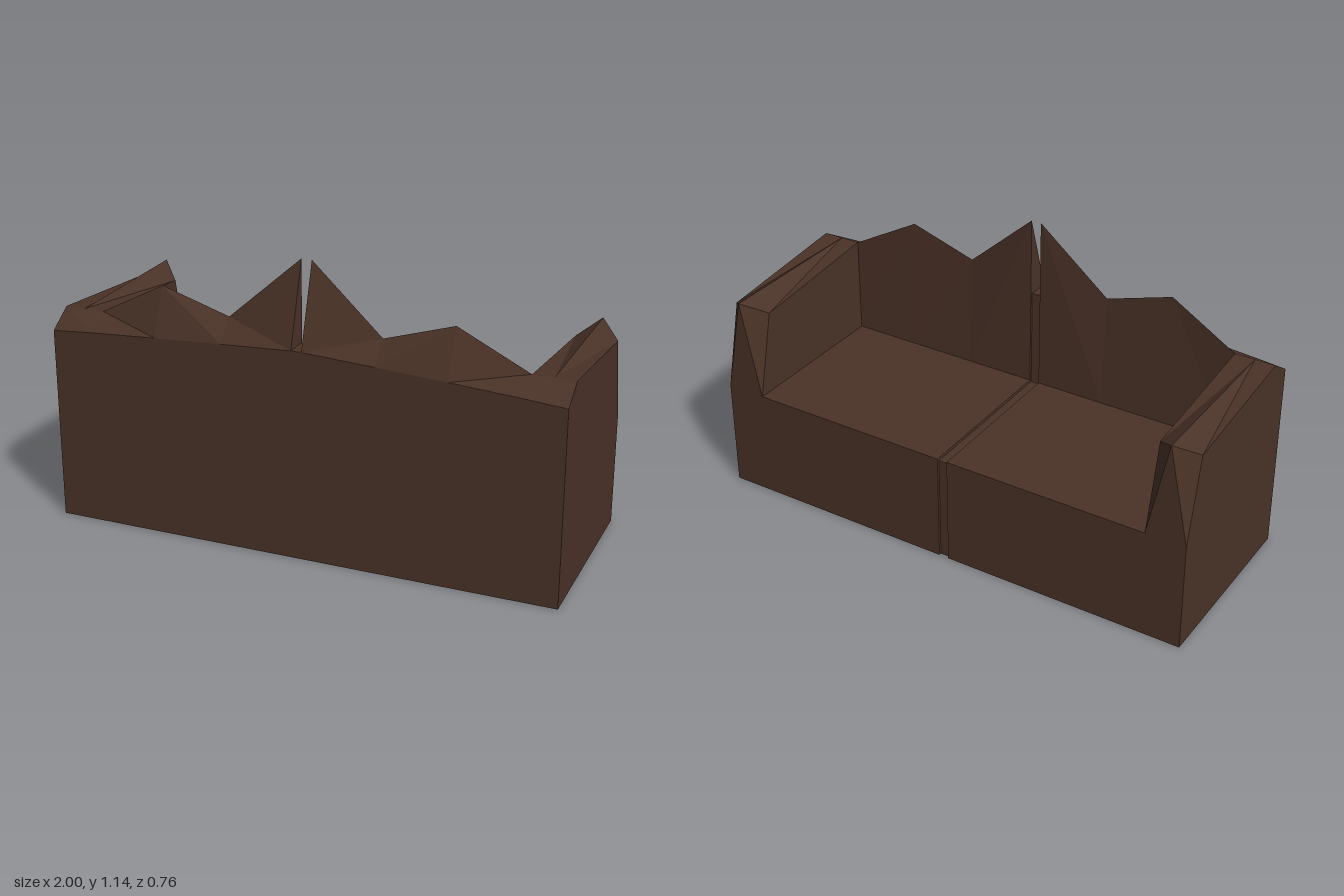
import * as THREE from 'three';

const SEAT = 0.44, DEPTH = 0.38, SEAM = 0.02, BACK = 0.28;
const material = new THREE.MeshStandardMaterial({ color: 0x4a3227, flatShading: true });

// Skins sections { x, points: [[z, y], ...] } running up the +z side and down the -z side.
function loft(sections) {
  const pos = [];
  const put = (s, i) => pos.push(s.x, s.points[i][1], s.points[i][0]);
  const tri = (...corners) => corners.forEach(([s, i]) => put(s, i));
  const n = sections[0].points.length;
  for (let k = 0; k < sections.length - 1; k++) {
    const a = sections[k], b = sections[k + 1];
    for (let j = 0; j < n - 1; j++) {
      tri([a, j], [b, j + 1], [a, j + 1]);
      tri([a, j], [b, j], [b, j + 1]);
    }
  }
  const first = sections[0], last = sections[sections.length - 1];
  for (let j = 1; j < n - 1; j++) {
    tri([first, 0], [first, j], [first, j + 1]);
    tri([last, 0], [last, j + 1], [last, j]);
  }
  const geometry = new THREE.BufferGeometry();
  geometry.setAttribute('position', new THREE.Float32BufferAttribute(pos, 3));
  geometry.computeVertexNormals();
  return geometry;
}

function box(name, x0, x1, y0, y1, z0, z1) {
  const mesh = new THREE.Mesh(new THREE.BoxGeometry(x1 - x0, y1 - y0, z1 - z0), material);
  mesh.position.set((x0 + x1) / 2, (y0 + y1) / 2, (z0 + z1) / 2);
  mesh.name = name;
  return mesh;
}

// Backrest stations: x, crest height, crest z, height of the outer edge
const backStations = [
  [SEAM, 1.14, 0.28, 0.825],
  [0.3, 0.89, 0.3, 0.81],
  [0.57, 0.975, 0.3, 0.795],
  [0.84, 0.83, 0.28, 0.778],
  [1, 0.83, 0.28, 0.765],
];

function createHalf(name) {
  const half = new THREE.Group();
  half.name = name;
  half.add(box('seatBase', SEAM, 1, 0, SEAT, -DEPTH, DEPTH));

  // Backrest with a jagged crest
  const backrest = new THREE.Mesh(loft(backStations.map(([x, y, z, edge]) => ({
    x, points: [[DEPTH, SEAT], [DEPTH, edge], [z, y], [BACK, SEAT]],
  }))), material);
  backrest.name = 'backrest';
  half.add(backrest);

  // Armrest: a level ridge falling away to both sides
  const slope = loft([
    { x: 0, points: [[BACK, SEAT], [BACK, 0.83], [-DEPTH, 0.83], [-DEPTH, SEAT]] },
    { x: 0.08, points: [[BACK, SEAT], [BACK, 0.83], [-0.3, 0.775], [-DEPTH, SEAT]] },
  ]);
  const armrest = new THREE.Group();
  armrest.name = 'armrest';
  armrest.position.x = 0.92;
  for (const side of [1, -1]) {
    const mesh = new THREE.Mesh(slope, material);
    mesh.scale.x = side;
    mesh.name = side > 0 ? 'armOuterSlope' : 'armInnerSlope';
    armrest.add(mesh);
  }
  half.add(armrest);
  return half;
}

export function createModel() {
  const sofa = new THREE.Group();
  sofa.name = 'sofa';
  const left = createHalf('leftHalf');
  const right = createHalf('rightHalf');
  right.scale.x = -1;
  sofa.add(left, right);

  // Recessed seam joining the halves
  sofa.add(box('seatSeam', -SEAM, SEAM, 0, SEAT - 0.012, -DEPTH + 0.01, DEPTH));
  sofa.add(box('backSeam', -SEAM, SEAM, SEAT - 0.012, 0.825, BACK + 0.01, DEPTH));
  return sofa;
}
